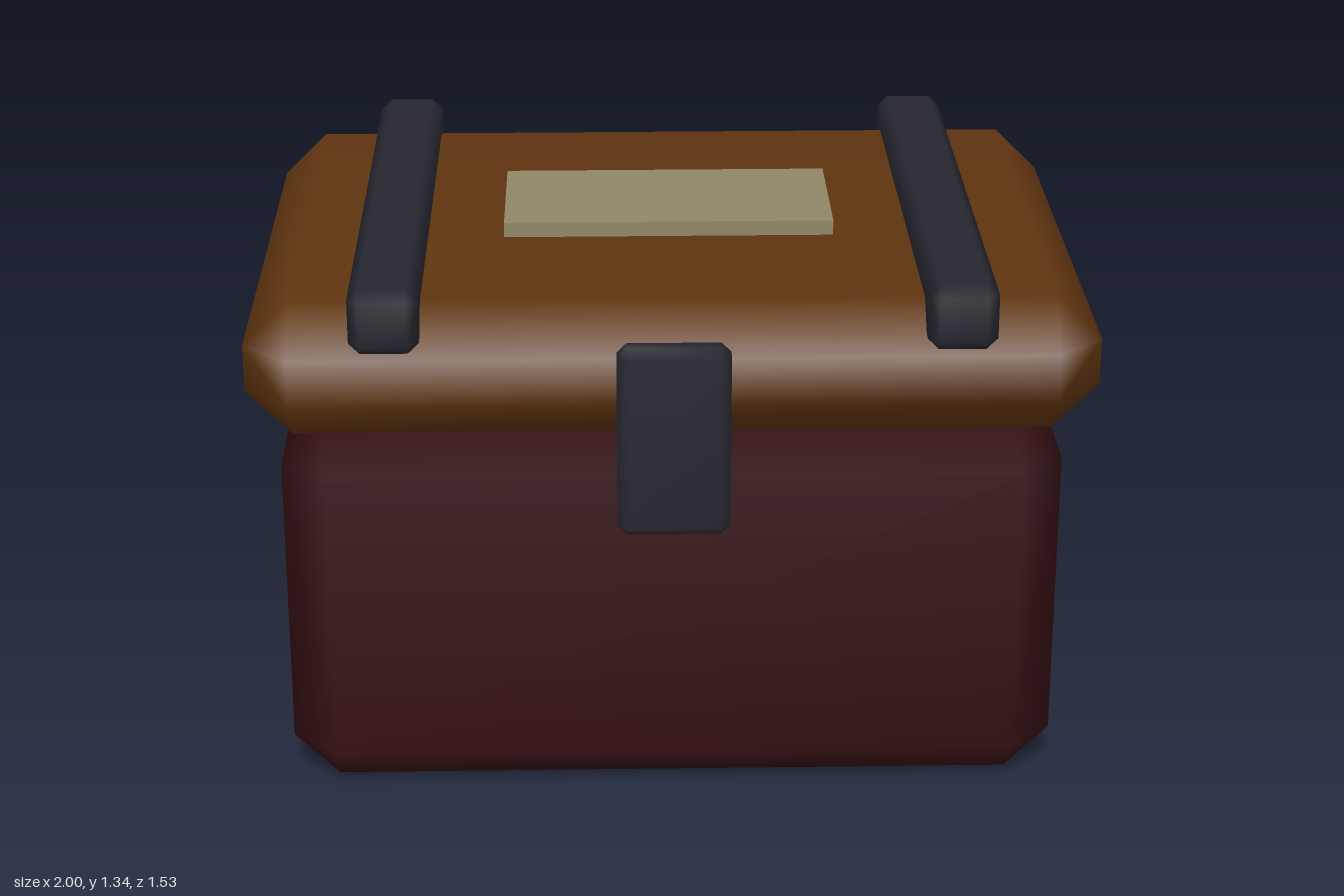
import * as THREE from 'three';

const mat = (name, color) => {
  const m = new THREE.MeshStandardMaterial({ color });
  m.name = name;
  return m;
};

// Box with a single-step chamfer on every edge and smooth normals, given by its min and max corners.
function chamferBox([x0, y0, z0], [x1, y1, z1], bevel) {
  const half = [(x1 - x0) / 2, (y1 - y0) / 2, (z1 - z0) / 2];
  const pos = [], index = [], signs = [-1, 1];
  const id = (s, axis) => ((s[0] > 0 ? 4 : 0) + (s[1] > 0 ? 2 : 0) + (s[2] > 0 ? 1 : 0)) * 3 + axis;

  // three vertices per corner, each lying on the face of one axis
  for (const sx of signs) for (const sy of signs) for (const sz of signs)
    for (let axis = 0; axis < 3; axis++)
      [sx, sy, sz].forEach((s, k) => pos.push(s * (half[k] - (k === axis ? 0 : bevel))));

  // add a triangle, turned so that it faces outwards
  const point = i => new THREE.Vector3().fromArray(pos, i * 3);
  const tri = (a, b, c) => {
    const A = point(a), B = point(b), C = point(c);
    const n = B.clone().sub(A).cross(C.clone().sub(A));
    if (n.dot(A.add(B).add(C)) < 0) index.push(a, c, b);
    else index.push(a, b, c);
  };
  const quad = (a, b, c, d) => { tri(a, b, c); tri(a, c, d); };
  const corner = (...pairs) => {
    const s = [0, 0, 0];
    pairs.forEach(([k, v]) => { s[k] = v; });
    return s;
  };

  for (let a = 0; a < 3; a++) {
    const b = (a + 1) % 3, c = (a + 2) % 3;
    for (const s of signs) {
      // main face
      quad(...[[-1, -1], [1, -1], [1, 1], [-1, 1]].map(([u, v]) => id(corner([a, s], [b, u], [c, v]), a)));
      // chamfers running along axis c
      for (const t of signs) {
        const lo = corner([a, s], [b, t], [c, -1]), hi = corner([a, s], [b, t], [c, 1]);
        quad(id(lo, a), id(hi, a), id(hi, b), id(lo, b));
      }
    }
  }
  // corner triangles
  for (let k = 0; k < 8; k++) tri(k * 3, k * 3 + 1, k * 3 + 2);

  const geo = new THREE.BufferGeometry();
  geo.setAttribute('position', new THREE.Float32BufferAttribute(pos, 3));
  geo.setIndex(index);
  geo.computeVertexNormals();
  geo.translate((x0 + x1) / 2, (y0 + y1) / 2, (z0 + z1) / 2);
  return geo;
}

export function createModel() {
  const group = new THREE.Group();
  group.name = 'chest';
  const maroon = mat('dark maroon leather', 0x351013);
  const brown = mat('brown leather', 0x5f3410);
  const iron = mat('dark iron', 0x262630);
  const parchment = mat('parchment', 0x8f8767);

  const add = (name, geometry, material) => {
    const mesh = new THREE.Mesh(geometry, material);
    mesh.name = name;
    group.add(mesh);
    return mesh;
  };

  // body and overhanging lid
  add('body', chamferBox([-0.93, 0, -0.685], [0.93, 0.94, 0.65], 0.108), maroon);
  add('lid', chamferBox([-1, 0.94, -0.755], [1, 1.27, 0.713], 0.108), brown);

  // straps over the lid
  for (const [name, x] of [['rightStrap', -0.666], ['leftStrap', 0.664]])
    add(name, chamferBox([x - 0.081, 1.177, -0.767], [x + 0.081, 1.335, 0.727], 0.026), iron);

  // front clasp
  add('clasp', chamferBox([-0.133, 0.735, 0.69], [0.131, 1.203, 0.766], 0.023), iron);

  // label plate on the lid
  const label = add('labelPlate', new THREE.BoxGeometry(0.8, 0.06, 0.395), parchment);
  label.position.set(0, 1.277, -0.022);

  return group;
}
